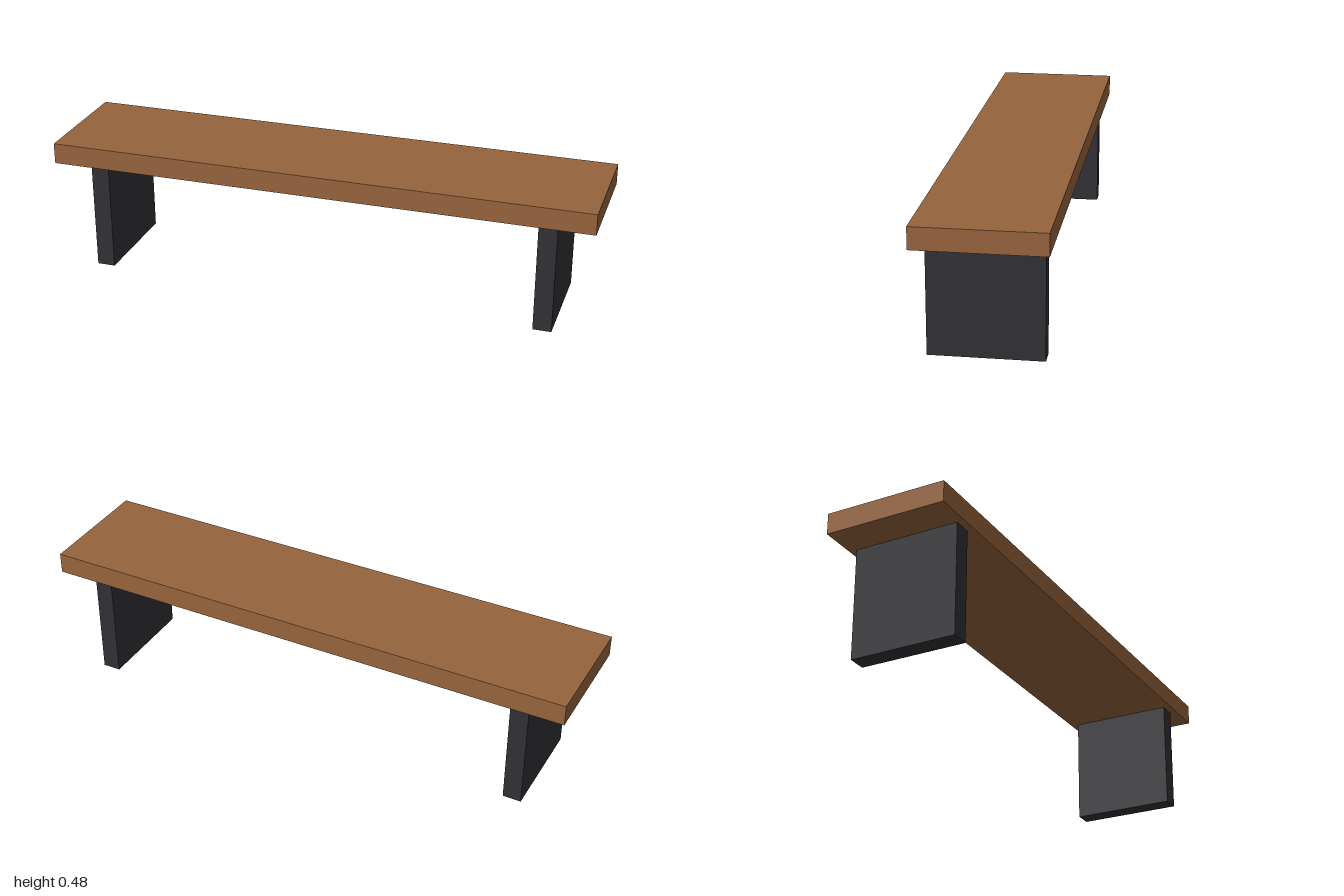
import * as THREE from 'three';

export function createModel() {
  const bench = new THREE.Group();
  bench.name = 'bench';
  const wood = new THREE.MeshStandardMaterial({ color: 0x96633c });
  const darkMetal = new THREE.MeshStandardMaterial({ color: 0x303035 });

  const legHeight = 0.407;
  const seatThickness = 0.077;

  const addBox = (name, material, [w, h, d], [x, y, z]) => {
    const mesh = new THREE.Mesh(new THREE.BoxGeometry(w, h, d), material);
    mesh.name = name;
    mesh.position.set(x, y, z);
    bench.add(mesh);
  };

  // Plank seat
  addBox('seat', wood, [2, seatThickness, 0.444], [0, legHeight + seatThickness / 2, 0]);

  // Slab legs, mirrored left and right
  for (const [name, side] of [['leftLeg', 1], ['rightLeg', -1]]) {
    addBox(name, darkMetal, [0.067, legHeight, 0.389], [side * 0.833, legHeight / 2, 0]);
  }

  return bench;
}
